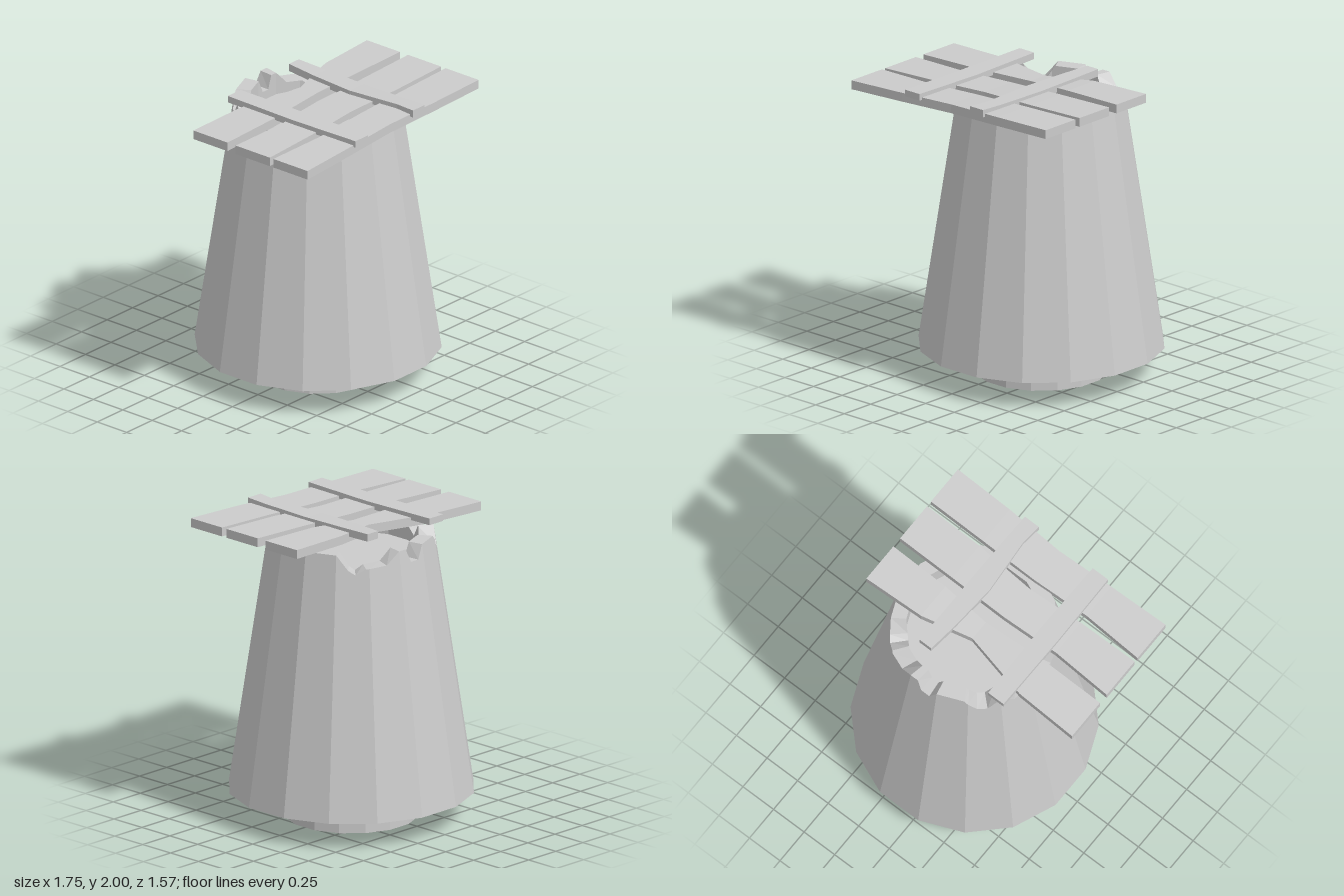
import * as THREE from 'three';

const material = new THREE.MeshStandardMaterial({ color: 0xcccccc, flatShading: true });
const SIDES = 16, STEP = 360 / SIDES, AXIS_X = 0.09;

// Faceted skin stretched over consecutive rows of points
function skin(name, rows) {
  const pos = [];
  for (let i = 0; i < rows.length - 1; i++) {
    for (let k = 0; k < rows[i].length - 1; k++) {
      const a = rows[i][k], b = rows[i + 1][k], c = rows[i + 1][k + 1], d = rows[i][k + 1];
      pos.push(...a, ...b, ...c, ...a, ...c, ...d);
    }
  }
  const g = new THREE.BufferGeometry();
  g.setAttribute('position', new THREE.Float32BufferAttribute(pos, 3));
  g.computeVertexNormals();
  const mesh = new THREE.Mesh(g, material);
  mesh.name = name;
  return mesh;
}

// Bent board along x; stations are [x, back z, front z, top y]
function board(name, stations, thick) {
  const rows = stations.map(([x, a, b, y]) => [
    [x, y, a], [x, y - thick, a], [x, y - thick, b], [x, y, b], [x, y, a],
  ]);
  const cap = ([x, a, b, y]) => Array(5).fill([x, y - thick / 2, (a + b) / 2]);
  return skin(name, [cap(stations[0]), ...rows, cap(stations.at(-1))]);
}

// Rim outline: [degrees from +x towards the back, height], with chipped notches
const CHIPS = [
  [0, 1.91], [33.75, 1.91], [42, 1.81], [47, 1.78], [54, 1.82], [69, 1.83], [78.75, 1.91],
  [85, 1.91], [89, 1.82], [96, 1.82], [101.25, 1.91], [121, 1.91], [130, 1.81], [137, 1.80],
  [147, 1.91], [156, 1.82], [168.75, 1.86], [191.25, 1.86], [202, 1.82], [212, 1.91], [360, 1.91],
];

function rimHeight(deg) {
  const i = Math.max(1, CHIPS.findIndex(([a]) => a >= deg));
  const [a0, h0] = CHIPS[i - 1], [a1, h1] = CHIPS[i];
  return h0 + (h1 - h0) * (deg - a0) / (a1 - a0);
}

// Tapered 16-sided tub with a thick broken rim and a sunken floor
function createTub() {
  const angles = new Set(CHIPS.map(([a]) => a));
  for (let i = 0; i < SIDES; i++) angles.add((i + 0.5) * STEP);
  const rows = [...angles].sort((a, b) => a - b).map((deg) => {
    const t = THREE.MathUtils.degToRad(deg);
    // keep extra points on the flat facets
    const off = THREE.MathUtils.degToRad(deg - Math.round(deg / STEP) * STEP);
    const flat = Math.cos(Math.PI / SIDES) / Math.cos(off);
    const p = (r, y) => [AXIS_X + r * flat * Math.cos(t), y, -r * flat * Math.sin(t)];
    const h = rimHeight(deg);
    const outer = 0.8 - 0.26 * (h - 0.18) / 1.73;
    return [p(0, 0.18), p(0.8, 0.18), p(outer, h), p(0.44, h), p(0.44, 1.76), p(0, 1.76)];
  });
  return skin('tub', rows);
}

export function createModel() {
  const model = new THREE.Group();

  // Narrow foot under the tub
  const foot = new THREE.Mesh(new THREE.CylinderGeometry(0.437, 0.437, 0.18, SIDES), material);
  foot.geometry.rotateY(Math.PI / SIDES);
  foot.position.set(AXIS_X, 0.09, 0);
  foot.name = 'foot';
  model.add(foot, createTub());

  // Three long lid planks, slightly warped and rising towards +x
  model.add(
    board('backPlank', [
      [-0.88, -0.22, 0.07, 1.925], [-0.44, -0.205, 0.07, 1.94], [0.03, -0.1, 0.04, 1.955],
      [0.38, -0.19, 0.065, 1.98], [0.81, -0.21, 0.07, 1.99]], 0.06),
    board('middlePlank', [
      [-0.88, 0.14, 0.43, 1.925], [-0.45, 0.16, 0.42, 1.94], [-0.04, 0.14, 0.395, 1.955],
      [0.38, 0.14, 0.42, 1.975], [0.81, 0.14, 0.42, 1.99]], 0.06),
    board('frontPlank', [
      [-0.88, 0.46, 0.75, 1.925], [-0.45, 0.48, 0.735, 1.94], [-0.04, 0.46, 0.715, 1.955],
      [0.38, 0.46, 0.735, 1.975], [0.81, 0.46, 0.74, 1.99]], 0.06),
  );

  // Two cross slats on top, built along x and turned to run front to back
  const slats = [
    board('rightSlat', [
      [-0.75, -0.41, -0.285, 1.975], [-0.22, -0.415, -0.275, 1.97], [0.335, -0.41, -0.285, 1.975]], 0.045),
    board('leftSlat', [
      [-0.75, 0.155, 0.27, 2.0], [-0.6, 0.17, 0.275, 1.995], [-0.22, 0.14, 0.28, 1.99],
      [0.1, 0.16, 0.28, 1.995], [0.33, 0.185, 0.28, 2.0]], 0.05),
  ];
  for (const slat of slats) {
    slat.rotation.y = Math.PI / 2;
    model.add(slat);
  }
  return model;
}
